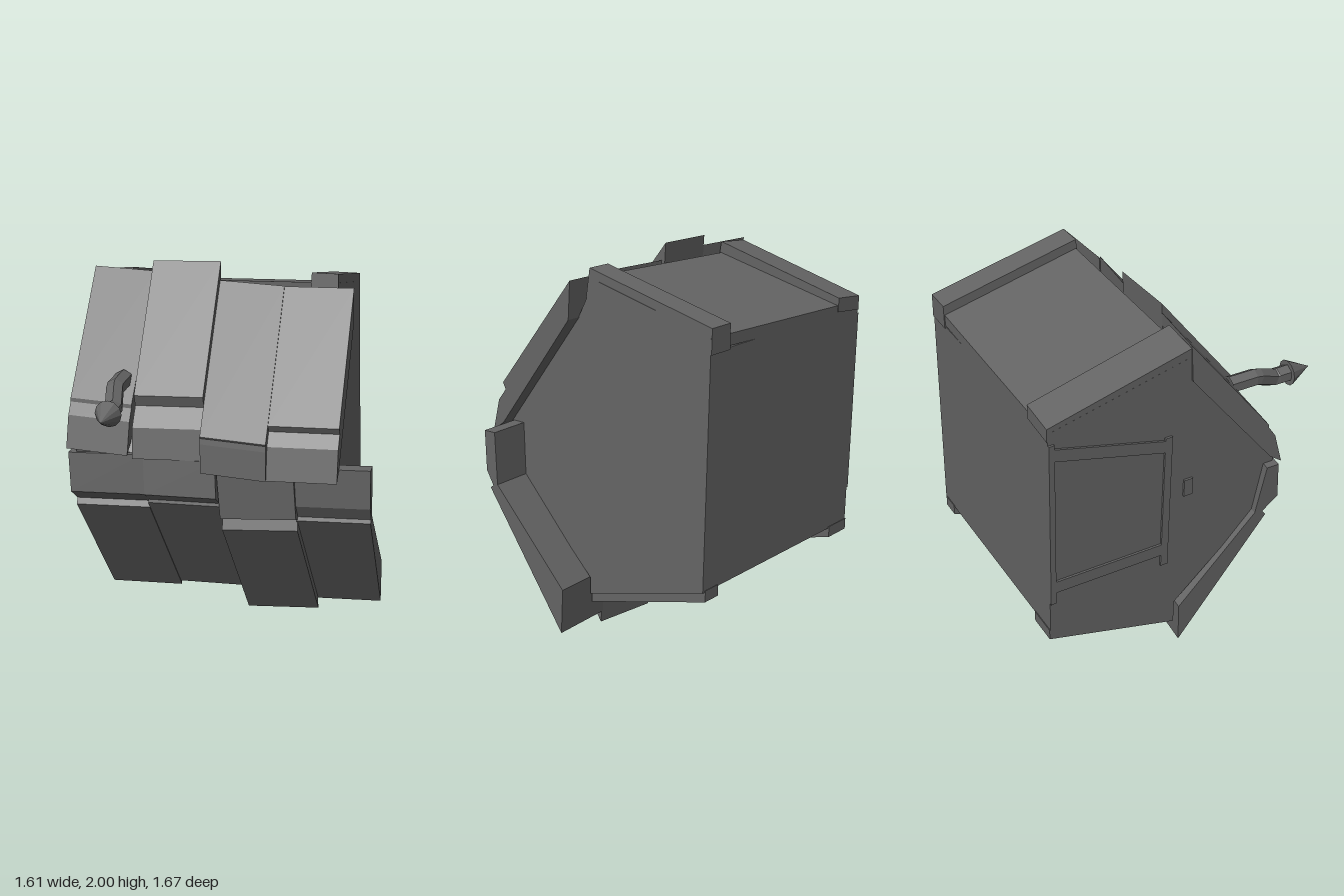
import * as THREE from 'three';

const material = new THREE.MeshStandardMaterial({ color: 0x646464, flatShading: true });

// Solid with a [z, y] profile, stretched between two x limits that may vary with height;
// tilt raises and yaw pushes forward the +x end
function prism(name, profile, xa, xb, tilt = 0, yaw = 0) {
  const shape = new THREE.Shape(profile.map(([z, y]) => new THREE.Vector2(-z, y)));
  const geo = new THREE.ExtrudeGeometry(shape, { depth: 1, bevelEnabled: false });
  geo.rotateY(Math.PI / 2);
  const p = geo.attributes.position;
  for (let i = 0; i < p.count; i++) {
    const y = p.getY(i), a = xa(y), b = xb(y);
    const x = a + (b - a) * p.getX(i), off = x - (a + b) / 2;
    p.setXYZ(i, x, y + tilt * off, p.getZ(i) + yaw * off);
  }
  geo.computeVertexNormals();
  const mesh = new THREE.Mesh(geo, material);
  mesh.name = name;
  return mesh;
}

// Both side walls lean towards +x at the bottom
const leftWall = y => 0.52 + (1.95 - y) * 0.033;
const rightWall = y => -0.79 + (1.95 - y) * 0.035;

// Upper plank: thick sloping slab, step, then a steeper lip
function upperPlank({ x0, x1, skew, top, step, under, knee, end, back, tilt, yaw }) {
  const face = y => back - 0.05 + 0.78 * (2 - y);
  const profile = [
    [face(top), top], [face(step), step], under, knee, end,
    [end[0] - 0.07, end[1] + 0.05], [face(top) + 0.01, top - 0.2],
  ];
  const shift = y => skew * (1.95 - y);
  return prism('upperPlank', profile, y => x0 + shift(y), y => x1 + shift(y), tilt, yaw);
}

// Lower plank: upright block, bevel, step, then a slab sloping back
function lowerPlank({ x0, x1, lean, front, knee, ledge, step, bottom, back, tilt, yaw }) {
  const face = y => back - 0.08 + 0.72 * y;
  const profile = [
    [front[0] - 0.07, 1.09], [front[0], 1.09], [front[1], knee],
    [face(step) - 0.02, ledge], [face(step), step], [face(bottom), bottom],
    [face(bottom) - 0.01, bottom + 0.24], [0.36, 0.81],
  ];
  return prism('lowerPlank', profile,
    y => x0 + 0.055 * (1.09 - y), y => x1 + lean * (1.09 - y), tilt, yaw);
}

export function createModel() {
  const group = new THREE.Group();

  // Main body with a slightly tilted roof
  group.add(prism('body', [
    [-0.83, 1.66], [-0.07, 1.85], [0, 1.71], [0.46, 1.1], [0.4, 0.82],
    [-0.1, 0.34], [-0.1, 0.25], [-0.83, 0.45],
  ], rightWall, leftWall));
  group.add(prism('roof', [[-0.83, 1.65], [-0.83, 1.71], [-0.07, 1.9], [-0.07, 1.84]],
    rightWall, leftWall, 0.035));

  // Rails along the top and bottom edges
  const topRail = (back, front) => [[-0.835, 1.65], [-0.835, back], [-0.07, front], [-0.05, 1.82]];
  const bottomRail = [[-0.835, 0.46], [-0.1, 0.26], [-0.1, 0.2], [-0.835, 0.4]];
  group.add(prism('topRailLeft', topRail(1.78, 1.97), () => 0.38, leftWall));
  group.add(prism('topRailRight', topRail(1.725, 1.935), rightWall, () => -0.58, 0.1));
  group.add(prism('bottomRailLeft', bottomRail, () => 0.45, y => leftWall(y) - 0.015));
  group.add(prism('bottomRailRight', bottomRail, rightWall, () => -0.57));

  // Upper planks
  const uppers = [
    { x0: -0.79, x1: -0.45, skew: -0.02, top: 1.94, step: 1.35, under: [0.41, 1.33],
      knee: [0.45, 1.27], end: [0.495, 1.1], back: -0.05, tilt: 0, yaw: 0.1 },
    { x0: -0.46, x1: -0.1, skew: 0.02, top: 2, step: 1.405, under: [0.395, 1.345],
      knee: [0.47, 1.25], end: [0.5, 1.09], back: 0, tilt: 0.03, yaw: -0.05 },
    { x0: -0.1, x1: 0.25, skew: 0.02, top: 1.91, step: 1.23, under: [0.51, 1.22],
      knee: [0.515, 1.19], end: [0.527, 1.035], back: -0.035, tilt: 0, yaw: 0.11 },
    { x0: 0.25, x1: 0.61, skew: 0.02, top: 1.91, step: 1.31, under: [0.44, 1.275],
      knee: [0.49, 1.21], end: [0.53, 1.04], back: -0.03, tilt: 0.02, yaw: -0.05 },
  ];
  uppers.forEach(u => group.add(upperPlank(u)));

  // Lower planks
  const lowers = [
    { x0: -0.8, x1: -0.39, lean: 0.055, front: [0.48, 0.495], knee: 0.875, ledge: 0.805,
      step: 0.775, bottom: 0.09, back: -0.05, tilt: 0.07, yaw: 0.05 },
    { x0: -0.39, x1: -0.01, lean: 0.055, front: [0.49, 0.51], knee: 0.895, ledge: 0.84,
      step: 0.83, bottom: 0.14, back: -0.06, tilt: 0.03, yaw: 0 },
    { x0: -0.005, x1: 0.395, lean: 0.055, front: [0.485, 0.46], knee: 0.785, ledge: 0.765,
      step: 0.71, bottom: 0.02, back: 0, tilt: 0.08, yaw: 0 },
    { x0: 0.39, x1: 0.785, lean: 0.015, front: [0.445, 0.435], knee: 0.875, ledge: 0.8,
      step: 0.785, bottom: 0.1, back: -0.075, tilt: 0.02, yaw: -0.07 },
  ];
  lowers.forEach(l => group.add(lowerPlank(l)));

  // Hatch frame and knob on the right wall
  const trim = [
    ['hatchTopStrap', [[-0.82, 1.6], [-0.18, 1.43], [-0.18, 1.36], [-0.82, 1.53]]],
    ['hatchBottomStrap', [[-0.82, 0.78], [-0.18, 0.78], [-0.18, 0.71], [-0.82, 0.71]]],
    ['hatchFrontPost', [[-0.2, 1.45], [-0.16, 1.45], [-0.16, 0.64], [-0.2, 0.64]]],
    ['hatchBackPost', [[-0.83, 1.62], [-0.8, 1.62], [-0.8, 0.64], [-0.83, 0.64]]],
    ['hatchKnob', [[-0.08, 1.15], [-0.03, 1.15], [-0.03, 1.05], [-0.08, 1.05]]],
  ];
  trim.forEach(([name, profile]) =>
    group.add(prism(name, profile, y => rightWall(y) - 0.012, y => rightWall(y) + 0.01)));

  // Bent spike: hexagonal rod with a cone tip
  const path = new THREE.CurvePath();
  const bends = [[-0.53, 1.455, 0.32], [-0.53, 1.455, 0.48], [-0.5, 1.395, 0.61], [-0.5, 1.395, 0.71]]
    .map(b => new THREE.Vector3(...b));
  for (let i = 0; i < 3; i++) path.add(new THREE.LineCurve3(bends[i], bends[i + 1]));
  const rod = new THREE.Mesh(new THREE.TubeGeometry(path, 16, 0.048, 6), material);
  rod.name = 'spikeRod';
  const tip = new THREE.Mesh(new THREE.ConeGeometry(0.07, 0.135, 12).rotateX(Math.PI / 2), material);
  tip.name = 'spikeTip';
  tip.position.set(-0.5, 1.395, 0.77);
  group.add(rod, tip);

  return group;
}
